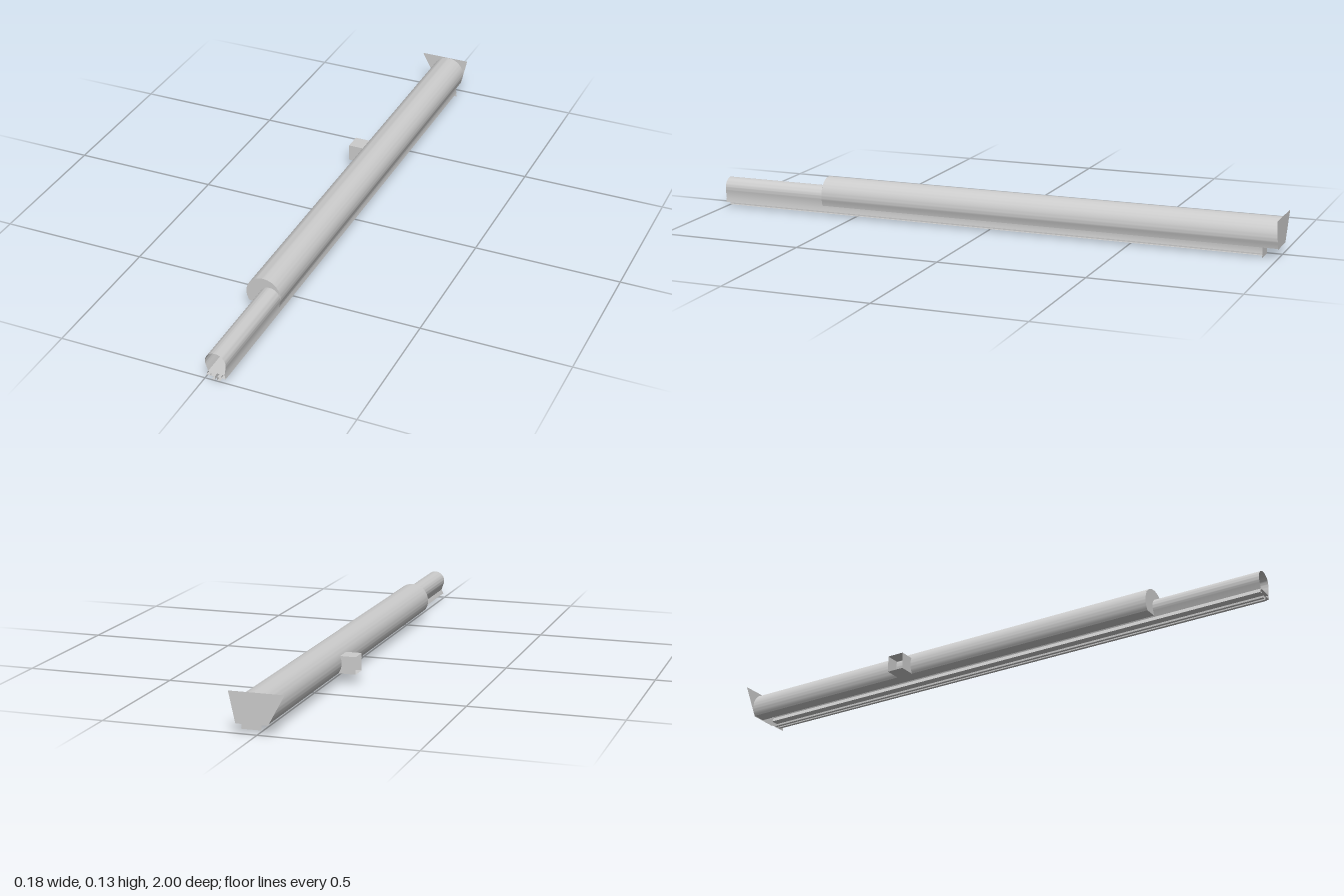
import * as THREE from 'three';
import { toCreasedNormals } from 'three/addons/utils/BufferGeometryUtils.js';

const mat = new THREE.MeshStandardMaterial({ color: 0xcccccc, side: THREE.DoubleSide });

// Points on an arc, angles in degrees
function arc(cx, cy, r, a0, a1, n) {
  const pts = [];
  for (let i = 0; i <= n; i++) {
    const a = THREE.MathUtils.degToRad(a0 + (a1 - a0) * i / n);
    pts.push([cx + r * Math.cos(a), cy + r * Math.sin(a)]);
  }
  return pts;
}

// Open sheet: a profile in x, y swept straight from z0 to z1
function sheet(name, profile, z0, z1) {
  const pos = [];
  for (let i = 0; i < profile.length - 1; i++) {
    const [ax, ay] = profile[i], [bx, by] = profile[i + 1];
    pos.push(ax, ay, z0, ax, ay, z1, bx, by, z1, ax, ay, z0, bx, by, z1, bx, by, z0);
  }
  const g = new THREE.BufferGeometry();
  g.setAttribute('position', new THREE.Float32BufferAttribute(pos, 3));
  g.computeVertexNormals();
  return named(name, toCreasedNormals(g, 0.5));
}

// Flat plate facing z
function plate(name, outline, z) {
  const g = new THREE.ShapeGeometry(new THREE.Shape(outline.map(p => new THREE.Vector2(...p))));
  g.translate(0, 0, z);
  return named(name, g);
}

function named(name, geometry) {
  const m = new THREE.Mesh(geometry, mat);
  m.name = name;
  return m;
}

export function createModel() {
  const group = new THREE.Group();
  group.name = 'rollerHousing';

  // Large round cover with a flat underside
  const cover = [[0.068, 0.034], [0.071, 0.05], ...arc(0.015, 0.068, 0.06, -12, 214, 40), [0.012, 0.034]];
  group.add(sheet('outerCover', cover, -1, 0.62));

  // Inner tube, open at the front, with walls running down to the rail
  const tube = [[0.07, 0.015], [0.067, 0.03], ...arc(0.037, 0.065, 0.035, -12, 206, 36), [0.012, 0.03], [0.005, 0.015]];
  group.add(sheet('innerTube', tube, -0.95, 1));

  // Crescent face closing the front of the cover around the tube
  const crescent = [...arc(0.015, 0.068, 0.06, 0, 214, 40), [0.012, 0.034], ...arc(0.037, 0.065, 0.035, 206, 0, 36)];
  group.add(plate('coverFrontFace', crescent, 0.62));

  // Mirrored rail lips under the tube, either side of a narrow slot
  for (const s of [-1, 1]) {
    const x = d => 0.0375 + s * d;
    group.add(sheet('railLip', [[x(0.0325), 0.015], [x(0.004), 0.015], [x(0.004), 0.003], [x(0.014), 0.003]], -0.95, 1));
    group.add(sheet('railInnerRib', [[x(0.018), 0.015], [x(0.018), 0.022], [x(0.01), 0.022]], -0.95, 1));
  }
  group.add(sheet('railRoof', [[0.012, 0.03], [0.067, 0.028]], -0.95, 1));

  // Small end plate closing the back of the rail
  group.add(plate('railEndPlate', [[0.005, 0], [0.07, 0], [0.067, 0.034], [0.005, 0.034]], -0.95));

  // Flared plate at the back
  group.add(plate('endPlate', [[-0.035, 0.032], [0.068, 0.03], [0.09, 0.129], [-0.088, 0.129]], -1));

  // Square socket on the side, open at its outer end
  const socket = sheet('sideSocket', [[-0.03, 0.034], [0.03, 0.034], [0.03, 0.092], [-0.03, 0.092], [-0.03, 0.034]], 0, 0.06);
  socket.rotation.y = Math.PI / 2;
  socket.position.set(-0.093, 0, -0.335);
  group.add(socket);

  return group;
}
